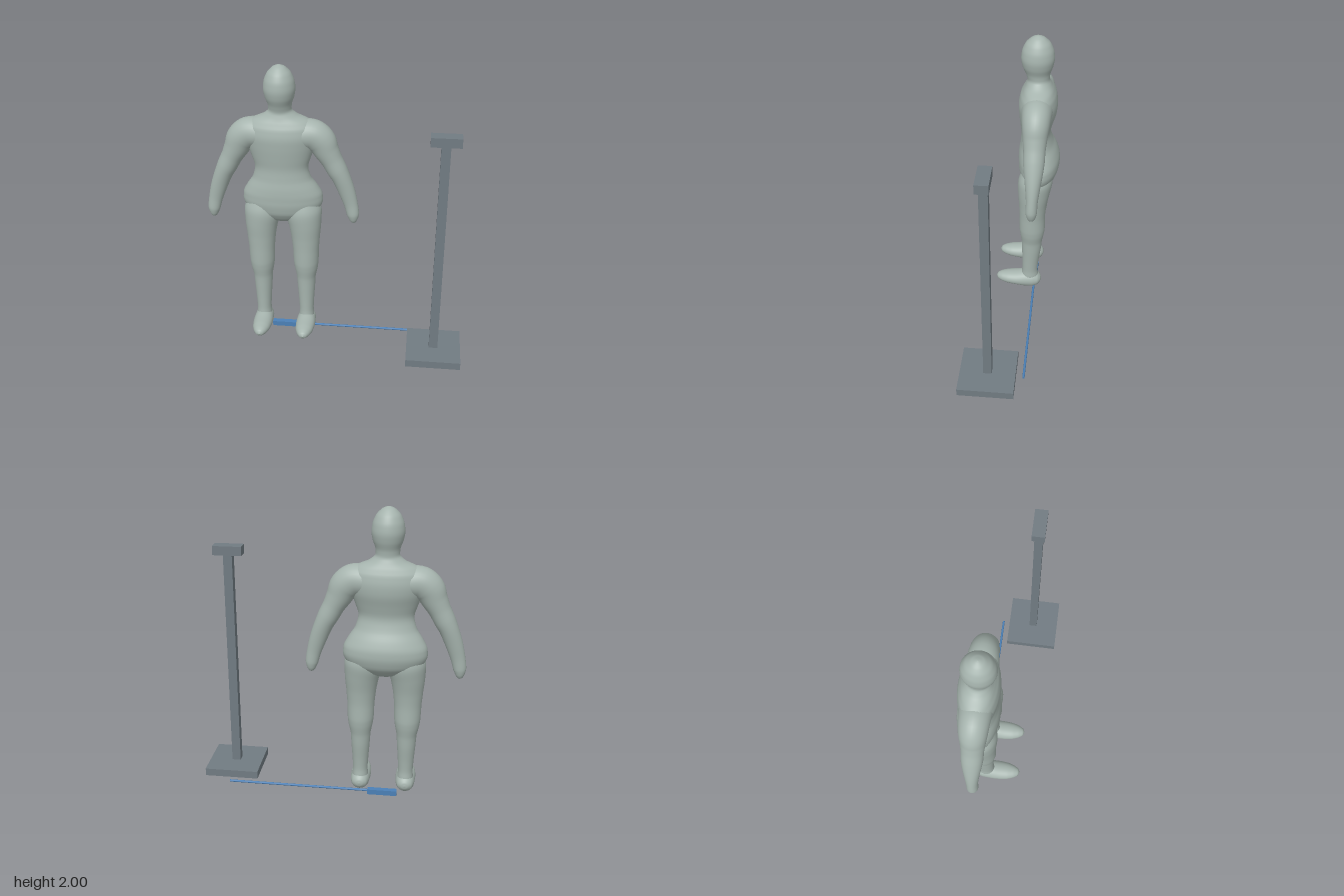
import * as THREE from 'three';

const mat = (name, color) => new THREE.MeshStandardMaterial({ name, color });
const BODY_X = -0.37;

// Smooth closed tube through elliptical sections: rows of [x, y, z, halfU, halfV].
// "v" is the fixed section axis; the other axis is square to it and to the path.
function loft(rows, v, steps = 5, sides = 32) {
  const path = new THREE.CatmullRomCurve3(rows.map(r => new THREE.Vector3(r[0], r[1], r[2])));
  const size = new THREE.CatmullRomCurve3(rows.map(r => new THREE.Vector3(r[3], r[4], 0)));
  const n = (rows.length - 1) * steps;
  const pos = [], index = [];
  for (let i = 0; i <= n; i++) {
    const c = path.getPoint(i / n), s = size.getPoint(i / n);
    const u = new THREE.Vector3().crossVectors(v, path.getTangent(i / n)).normalize();
    for (let j = 0; j < sides; j++) {
      const a = (j / sides) * Math.PI * 2;
      const p = c.clone()
        .addScaledVector(u, Math.max(s.x, 0.0005) * Math.cos(a))
        .addScaledVector(v, Math.max(s.y, 0.0005) * Math.sin(a));
      pos.push(p.x, p.y, p.z);
      if (i < n) {
        const k = i * sides + j, m = i * sides + (j + 1) % sides;
        index.push(k, m, m + sides, k, m + sides, k + sides);
      }
    }
  }
  const g = new THREE.BufferGeometry();
  g.setAttribute('position', new THREE.Float32BufferAttribute(pos, 3));
  g.setIndex(index);
  g.computeVertexNormals();
  return g;
}

export function createModel() {
  const model = new THREE.Group();
  const skin = mat('mannequin grey green', 0xa6b4ae);
  const steel = mat('stand grey', 0x717b82);
  const blue = mat('rod blue', 0x4b80b6);
  const X = new THREE.Vector3(0, 1, 0), Z = new THREE.Vector3(0, 0, 1);

  const add = (parent, name, geometry, material, x = 0, y = 0, z = 0) => {
    const m = new THREE.Mesh(geometry, material);
    m.name = name;
    m.position.set(x, y, z);
    parent.add(m);
    return m;
  };

  const figure = new THREE.Group();
  figure.name = 'mannequin';
  figure.position.x = BODY_X;
  model.add(figure);

  // Torso, neck and head: [y, z, half width, half depth]
  const trunk = [
    [0.89, -0.125, 0, 0], [0.9, -0.13, 0.07, 0.05], [0.93, -0.135, 0.17, 0.09],
    [0.98, -0.14, 0.245, 0.125], [1.05, -0.144, 0.273, 0.141], [1.1, -0.143, 0.268, 0.141],
    [1.16, -0.135, 0.236, 0.13], [1.22, -0.125, 0.197, 0.111], [1.3, -0.118, 0.178, 0.099],
    [1.38, -0.122, 0.2, 0.111], [1.46, -0.129, 0.228, 0.126], [1.53, -0.13, 0.245, 0.129],
    [1.59, -0.131, 0.235, 0.118], [1.63, -0.132, 0.19, 0.1], [1.66, -0.131, 0.118, 0.085],
    [1.7, -0.128, 0.076, 0.073], [1.74, -0.124, 0.078, 0.081], [1.79, -0.122, 0.095, 0.1],
    [1.845, -0.122, 0.104, 0.109], [1.9, -0.122, 0.097, 0.102], [1.95, -0.122, 0.075, 0.079],
    [1.985, -0.122, 0.04, 0.042], [1.997, -0.122, 0.013, 0.014], [2, -0.122, 0, 0],
  ].map(([y, z, a, b]) => [0, y, z, a, b]);
  add(figure, 'torsoAndHead', loft(trunk, Z, 4, 40), skin);

  // Arm from inside the chest to the fingertips: [out, y, z, half width, half depth]
  const arm = [
    [0.06, 1.53, -0.131, 0.08, 0.08], [0.14, 1.532, -0.131, 0.1, 0.102],
    [0.21, 1.528, -0.131, 0.104, 0.096], [0.262, 1.49, -0.131, 0.1, 0.09],
    [0.3, 1.42, -0.13, 0.084, 0.08], [0.337, 1.35, -0.13, 0.071, 0.072],
    [0.37, 1.285, -0.13, 0.068, 0.07], [0.397, 1.23, -0.13, 0.062, 0.064],
    [0.435, 1.13, -0.129, 0.056, 0.05], [0.465, 1.03, -0.127, 0.047, 0.039],
    [0.479, 0.96, -0.125, 0.042, 0.038], [0.482, 0.92, -0.125, 0.029, 0.029],
    [0.483, 0.9, -0.125, 0.017, 0.018], [0.483, 0.89, -0.125, 0, 0],
  ];
  // Leg from inside the hip to the ankle, same columns
  const leg = [
    [0.13, 1.06, -0.135, 0.1, 0.1], [0.14, 0.97, -0.128, 0.125, 0.118],
    [0.15, 0.88, -0.12, 0.113, 0.109], [0.154, 0.78, -0.114, 0.099, 0.096],
    [0.155, 0.68, -0.111, 0.09, 0.09], [0.155, 0.58, -0.112, 0.087, 0.09],
    [0.155, 0.53, -0.112, 0.081, 0.085], [0.154, 0.46, -0.111, 0.067, 0.073],
    [0.154, 0.38, -0.109, 0.062, 0.068], [0.154, 0.27, -0.103, 0.054, 0.059],
    [0.154, 0.19, -0.1, 0.05, 0.056], [0.154, 0.13, -0.1, 0.053, 0.062],
    [0.154, 0.08, -0.1, 0.04, 0.05],
  ];
  // Foot from heel to toe, same columns with half height last
  const foot = [
    [0.154, 0.1, -0.184, 0, 0], [0.154, 0.1, -0.179, 0.025, 0.022],
    [0.154, 0.1, -0.16, 0.05, 0.047], [0.154, 0.1, -0.12, 0.063, 0.065],
    [0.154, 0.1, -0.06, 0.067, 0.064], [0.154, 0.1, 0, 0.067, 0.054],
    [0.154, 0.101, 0.06, 0.06, 0.046], [0.154, 0.102, 0.105, 0.045, 0.036],
    [0.154, 0.103, 0.135, 0.026, 0.022], [0.154, 0.103, 0.147, 0, 0],
  ];
  for (const [side, s] of [['left', 1], ['right', -1]]) {
    const flip = rows => rows.map(([x, ...rest]) => [x * s, ...rest]);
    add(figure, side + 'Arm', loft(flip(arm), Z), skin);
    add(figure, side + 'Leg', loft(flip(leg), Z), skin);
    add(figure, side + 'Foot', loft(flip(foot), X), skin);
  }

  // Stand: square base, post and top block
  const stand = new THREE.Group();
  stand.name = 'stand';
  stand.position.set(0.7, 0, 0.107);
  model.add(stand);
  add(stand, 'standBase', new THREE.BoxGeometry(0.373, 0.053, 0.373), steel, 0, 0.0475);
  add(stand, 'standPost', new THREE.BoxGeometry(0.06, 1.525, 0.056), steel, 0, 0.8365);
  add(stand, 'standTop', new THREE.BoxGeometry(0.195, 0.062, 0.084), steel, 0, 1.629);

  // Rod with a square grip lying on the ground
  const rod = new THREE.Group();
  rod.name = 'rod';
  rod.position.set(0, 0.018, -0.13);
  model.add(rod);
  add(rod, 'grip', new THREE.BoxGeometry(0.2, 0.036, 0.037), blue, -0.37);
  const shaft = new THREE.CylinderGeometry(0.008, 0.008, 0.97, 12).rotateZ(Math.PI / 2);
  add(rod, 'shaft', shaft, blue, 0.214, 0.004);

  return model;
}
